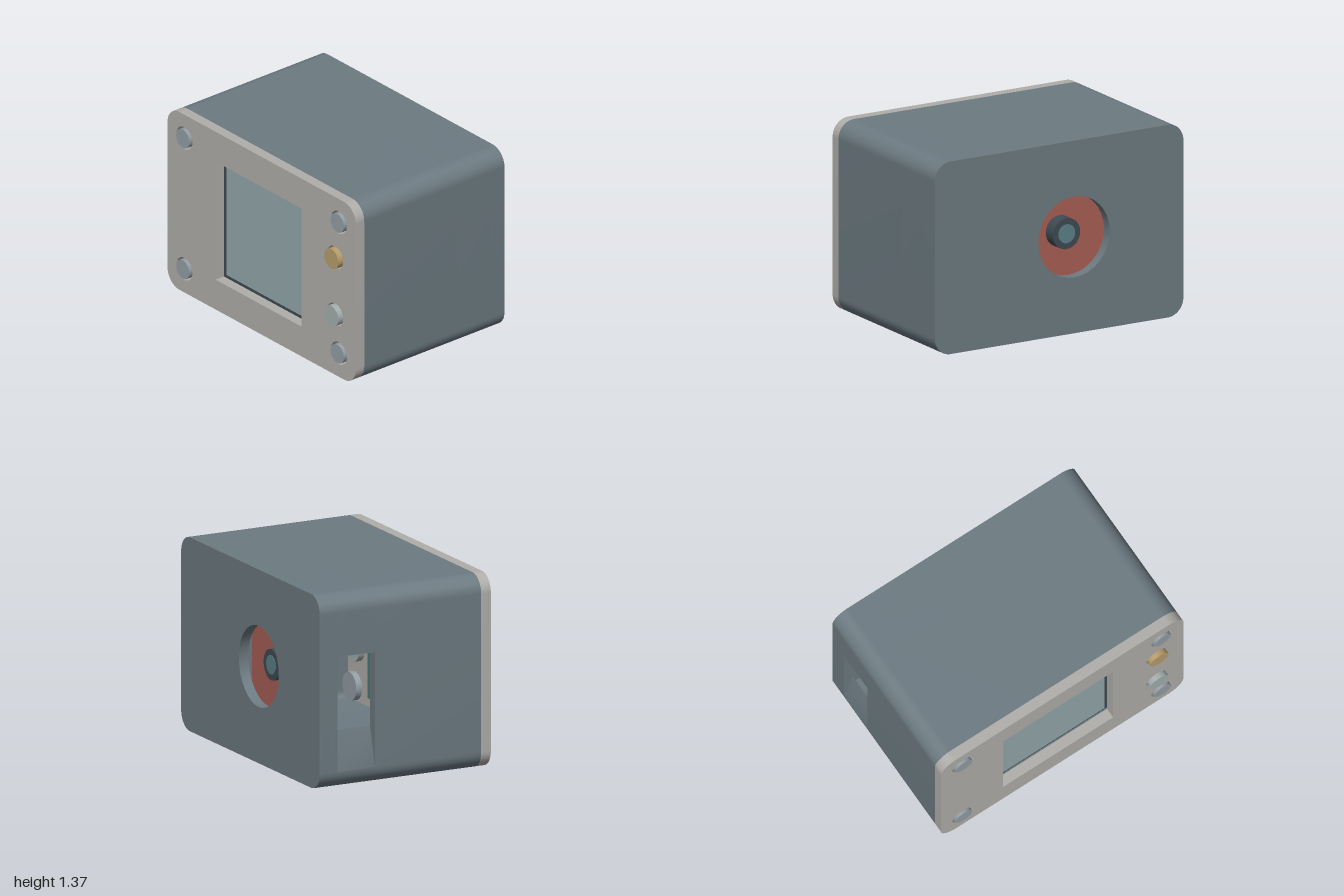
import * as THREE from 'three';
import { toCreasedNormals } from 'three/addons/utils/BufferGeometryUtils.js';

const H = 1.37, R = 0.125, WALL = 0.075;
const BACK = -0.68, SEAM = 0.575, FRONT = 0.65;
const MID = H / 2;
const PORT = { y0: 0.40, y1: 0.935, z0: -0.54, z1: -0.25 };
const CAM_X = -0.12;

const mat = (color) => new THREE.MeshStandardMaterial({ color });
const caseMat = mat(0x6c7a81), plateMat = mat(0xb0aeaa), darkMat = mat(0x3f4a52);
const steelMat = mat(0x939ea5), glassMat = mat(0x93a8aa), pcbMat = mat(0x4a7d76);

function add(parent, name, geometry, material, x = 0, y = 0, z = 0) {
  const mesh = new THREE.Mesh(geometry, material);
  mesh.name = name;
  mesh.position.set(x, y, z);
  parent.add(mesh);
  return mesh;
}

// Extrudes an outline in x-y between two depths
function slab(shape, z0, z1) {
  const g = new THREE.ExtrudeGeometry(shape, { depth: z1 - z0, bevelEnabled: false, curveSegments: 16 });
  g.translate(0, 0, z0);
  return toCreasedNormals(g, 0.5);
}

// Four corner arcs, counter-clockwise from the lower -x corner
function corners(path, r) {
  const a = Math.PI;
  path.absarc(-1 + R, R, r, a, 1.5 * a, false);
  path.absarc(1 - R, R, r, 1.5 * a, 2 * a, false);
  path.absarc(1 - R, H - R, r, 0, 0.5 * a, false);
  path.absarc(-1 + R, H - R, r, 0.5 * a, a, false);
  return path;
}

function outline(Type, inset = 0) {
  const p = corners(new Type(), R - inset);
  p.closePath();
  return p;
}

function circleHole(x, y, r) {
  const p = new THREE.Path();
  p.absarc(x, y, r, 0, Math.PI * 2, true);
  return p;
}

function rectHole(x0, y0, x1, y1) {
  return new THREE.Path([[x0, y0], [x0, y1], [x1, y1], [x1, y0], [x0, y0]].map((p) => new THREE.Vector2(...p)));
}

// Wall loop left open on the -x side where the port is cut
function openLoop() {
  const s = new THREE.Shape();
  s.moveTo(-1, PORT.y0);
  corners(s, R);
  s.lineTo(-1, PORT.y1);
  s.lineTo(-1 + WALL, PORT.y1);
  const a = Math.PI, r = R - WALL;
  s.absarc(-1 + R, H - R, r, a, 0.5 * a, true);
  s.absarc(1 - R, H - R, r, 0.5 * a, 0, true);
  s.absarc(1 - R, R, r, 2 * a, 1.5 * a, true);
  s.absarc(-1 + R, R, r, 1.5 * a, a, true);
  s.lineTo(-1 + WALL, PORT.y0);
  s.closePath();
  return s;
}

// Cylinder facing +z, between two depths
function disc(parent, name, x, y, r, z0, z1, material) {
  const g = new THREE.CylinderGeometry(r, r, z1 - z0, 40).rotateX(Math.PI / 2);
  return add(parent, name, g, material, x, y, (z0 + z1) / 2);
}

function knob(parent, name, x, y, r, top, material) {
  const group = new THREE.Group();
  group.name = name;
  disc(group, name + 'Flange', x, y, 0.1, 0.53, SEAM, material);
  disc(group, name + 'Cap', x, y, r, SEAM, top, material);
  parent.add(group);
}

export function createModel() {
  const model = new THREE.Group();

  // Case: back panel with lens opening, and side walls with a port
  const shell = new THREE.Group();
  shell.name = 'case';
  model.add(shell);
  const back = outline(THREE.Shape);
  back.holes.push(circleHole(CAM_X, MID, 0.288));
  add(shell, 'backPanel', slab(back, BACK, BACK + WALL), caseMat);
  const ring = outline(THREE.Shape);
  ring.holes.push(outline(THREE.Path, WALL));
  add(shell, 'rearWalls', slab(ring, BACK + WALL, PORT.z0), caseMat);
  add(shell, 'portWalls', slab(openLoop(), PORT.z0, PORT.z1), caseMat);
  add(shell, 'frontWalls', slab(ring, PORT.z1, SEAM), caseMat);

  // Front plate with screen window and round holes
  const screws = [[-0.82, 1.19], [0.82, 1.19], [-0.82, 0.182], [0.82, 0.182]];
  const buttons = [[0.78, 0.905, mat(0xb79d6b)], [0.78, 0.465, mat(0xa3aeae)]];
  const plate = outline(THREE.Shape);
  plate.holes.push(rectHole(-0.49, 0.23, 0.42, 1.14));
  for (const [x, y] of [...screws, ...buttons]) plate.holes.push(circleHole(x, y, 0.085));
  add(model, 'frontPlate', slab(plate, SEAM, FRONT), plateMat);

  // Screws and buttons
  for (const [x, y] of screws) knob(model, 'screw', x, y, 0.07, 0.665, steelMat);
  for (const [x, y, m] of buttons) knob(model, 'button', x, y, 0.075, 0.684, m);

  // Display: glass in a dark frame on a circuit board
  const box = (w, h, d) => new THREE.BoxGeometry(w, h, d);
  add(model, 'screenFrame', box(0.95, 0.95, 0.04), darkMat, -0.035, MID, 0.54);
  add(model, 'screenGlass', box(0.88, 0.88, 0.02), glassMat, -0.035, MID, 0.556);
  add(model, 'displayBoard', box(1.0, 1.0, 0.04), pcbMat, -0.035, MID, 0.50);

  // Camera: red board, barrel and lens seen through the back opening
  add(model, 'cameraBoard', box(0.9, 0.9, 0.04), mat(0xa85f55), CAM_X, MID, -0.47);
  disc(model, 'lensBarrel', CAM_X, MID, 0.11, -0.583, -0.47, darkMat);
  disc(model, 'lens', CAM_X, MID, 0.067, -0.587, -0.56, mat(0x5a8086));

  return model;
}
